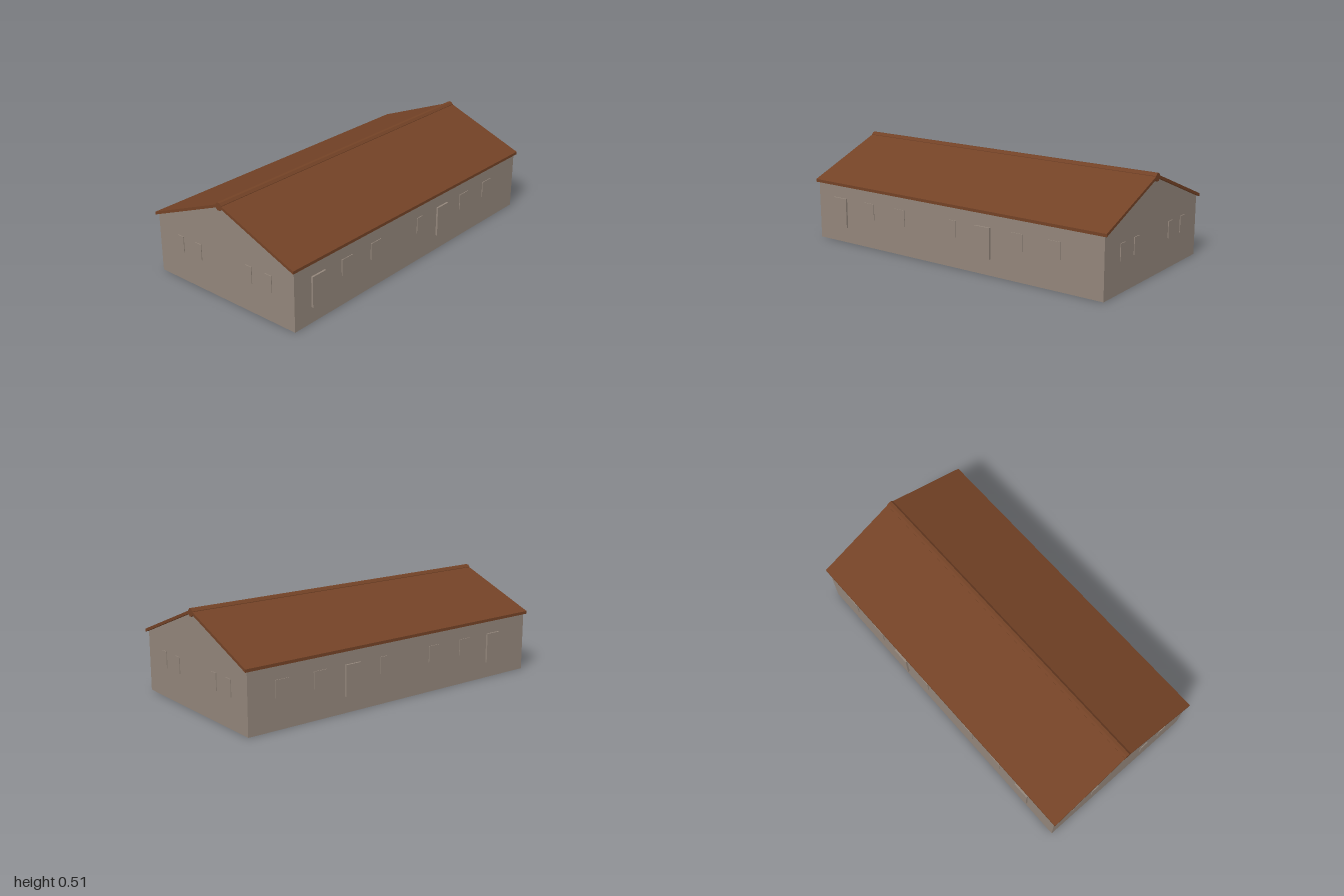
import * as THREE from 'three';

export function createModel() {
  const wallMat = new THREE.MeshStandardMaterial({ name: 'warm grey plaster', color: 0x92857a, side: THREE.DoubleSide });
  const roofMat = new THREE.MeshStandardMaterial({ name: 'brown roofing', color: 0x734226 });

  const L = 0.886, W = 0.45;        // half length and half width of the walls
  const eave = 0.31, peak = 0.488;  // wall heights
  const roofL = 0.9, roofW = 0.46, thick = 0.015;

  const house = new THREE.Group();
  house.name = 'house';
  house.rotation.y = THREE.MathUtils.degToRad(36.5);

  const add = (name, geometry, material, parent = house) => {
    const mesh = new THREE.Mesh(geometry, material);
    mesh.name = name;
    parent.add(mesh);
    return mesh;
  };

  // A wall group faces its local +z, standing on y = 0
  const addWall = (name, geometry, x, z, turn) => {
    const wall = new THREE.Group();
    wall.name = name;
    wall.position.set(x, 0, z);
    wall.rotation.y = turn;
    add(name + 'Surface', geometry, wallMat, wall);
    house.add(wall);
    return wall;
  };

  // Panel set through the wall, visible from both sides
  const addPanel = (wall, name, x, width, bottom, top, depth) => {
    const panel = add(name, new THREE.BoxGeometry(width, top - bottom, depth), wallMat, wall);
    panel.position.set(x, (bottom + top) / 2, 0);
  };
  const addWindow = (wall, x, width) => addPanel(wall, 'window', x, width, 0.155, 0.24, 0.008);
  const addDoor = (wall, x) => addPanel(wall, 'door', x, 0.09, 0.083, 0.24, 0.02);

  // Long walls with doors and windows
  const longGeometry = new THREE.PlaneGeometry(2 * L, eave).translate(0, eave / 2, 0);
  const front = addWall('frontWall', longGeometry, 0, W, 0);
  [[-0.53, 0.075], [-0.32, 0.075], [0.025, 0.042], [0.41, 0.075], [0.62, 0.075]]
    .forEach(([x, w]) => addWindow(front, x, w));
  [-0.73, 0.213].forEach((x) => addDoor(front, x));

  const back = addWall('backWall', longGeometry, 0, -W, Math.PI);
  [[-0.7, 0.075], [-0.485, 0.075], [-0.1, 0.042], [0.234, 0.075], [0.447, 0.075]]
    .forEach(([x, w]) => addWindow(back, x, w));
  [-0.294, 0.65].forEach((x) => addDoor(back, x));

  // Gable ends
  const gableShape = new THREE.Shape([
    [-W, 0], [W, 0], [W, eave], [0, peak], [-W, eave],
  ].map(([x, y]) => new THREE.Vector2(x, y)));
  const gableGeometry = new THREE.ShapeGeometry(gableShape);
  for (const side of [-1, 1]) {
    const gable = addWall(side > 0 ? 'leftGable' : 'rightGable', gableGeometry, side * L, 0, side * Math.PI / 2);
    [-0.297, -0.172, 0.165, 0.292].forEach((v) => addWindow(gable, -side * v, 0.042));
  }

  // Roof slab, a chevron swept along the ridge
  const low = peak - (peak - eave) * roofW / W;
  const roofShape = new THREE.Shape([
    [-roofW, low], [0, peak], [roofW, low],
    [roofW, low + thick], [0, peak + thick], [-roofW, low + thick],
  ].map(([x, y]) => new THREE.Vector2(x, y)));
  const roofGeometry = new THREE.ExtrudeGeometry(roofShape, { depth: 2 * roofL, bevelEnabled: false });
  roofGeometry.translate(0, 0, -roofL).rotateY(Math.PI / 2);
  add('roof', roofGeometry, roofMat);

  // Ridge cap
  const cap = new THREE.CylinderGeometry(0.021, 0.021, 2 * roofL, 8).rotateY(Math.PI / 8).rotateZ(Math.PI / 2);
  add('ridgeCap', cap.toNonIndexed(), roofMat).position.y = 0.49;
  house.getObjectByName('ridgeCap').geometry.computeVertexNormals();

  const model = new THREE.Group();
  model.name = 'longHouse';
  model.add(house);
  return model;
}
